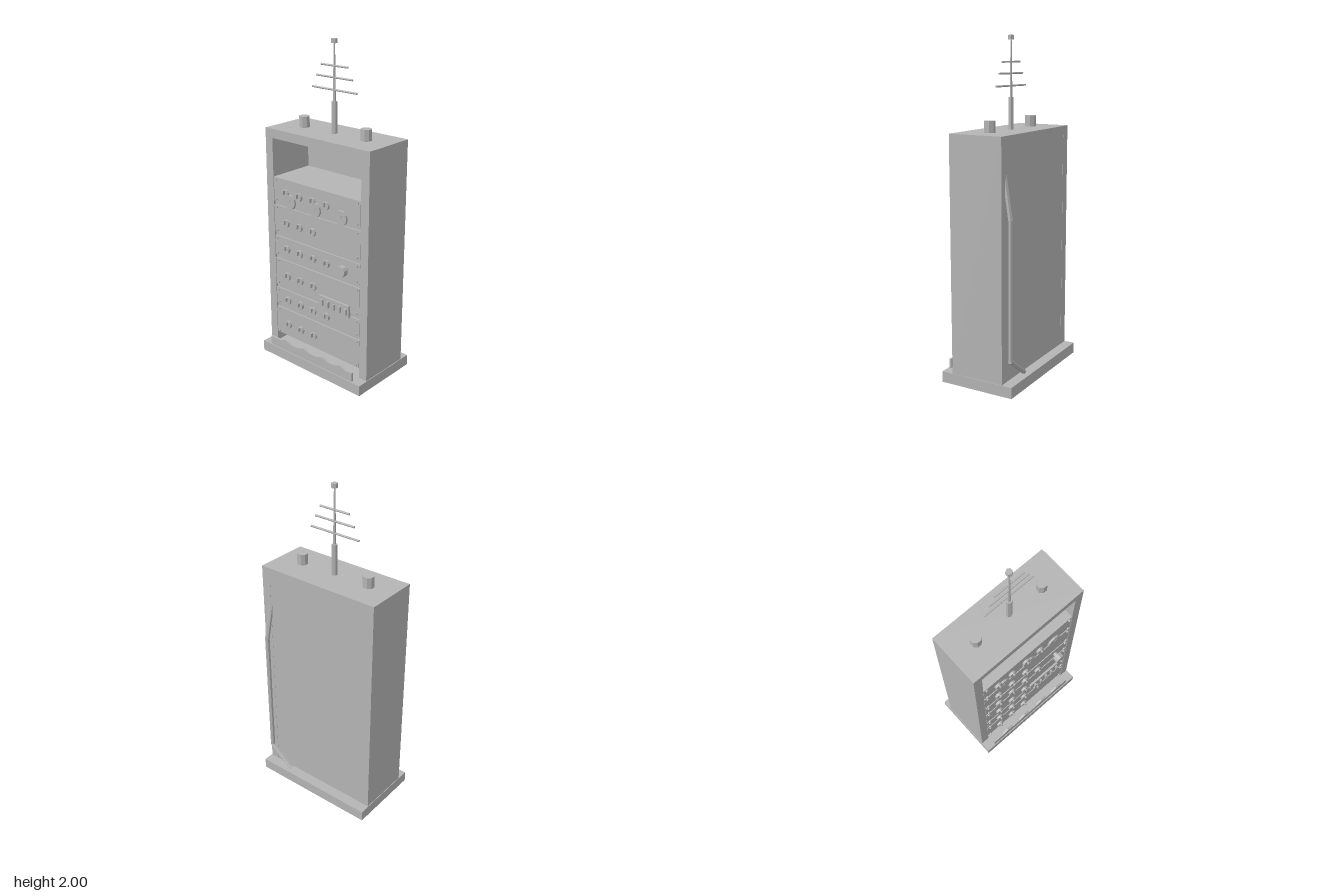
import * as THREE from 'three';

export function createModel() {
  const root = new THREE.Group();
  root.name = 'radioCabinet';
  const grey = new THREE.MeshStandardMaterial({ color: 0xb4b4b4, flatShading: true });
  grey.name = 'plain grey';

  const add = (name, geo, x = 0, y = 0, z = 0, parent = root) => {
    const m = new THREE.Mesh(geo, grey);
    m.name = name;
    m.position.set(x, y, z);
    parent.add(m);
    return m;
  };
  const box = (name, w, h, d, x, y, z, parent) =>
    add(name, new THREE.BoxGeometry(w, h, d), x, y, z, parent);
  // disc whose axis points forward, from z0 to z1
  const disc = (name, r, z0, z1, x, y, sides, parent) =>
    add(name, new THREE.CylinderGeometry(r, r, z1 - z0, sides).rotateX(Math.PI / 2), x, y, (z0 + z1) / 2, parent);

  // Plinth
  box('plinth', 0.8, 0.066, 0.468, 0, 0.033, 0);

  // Cabinet frame, open at the front, with a back wall
  const frame = new THREE.Shape([
    [-0.396, 0.066], [-0.34, 0.066], [-0.34, 1.41], [0.34, 1.41],
    [0.34, 0.066], [0.396, 0.066], [0.396, 1.465], [-0.396, 1.465],
  ].map(p => new THREE.Vector2(...p)));
  add('cabinetFrame', new THREE.ExtrudeGeometry(frame, { depth: 0.335, bevelEnabled: false }), 0, 0, -0.17);
  box('backWall', 0.69, 1.35, 0.03, 0, 0.74, -0.154);

  // Rack units: [bottom, top, number of knobs, knob height]
  const F = 0.165;
  const units = [
    [0.13, 0.315, 3, 0.215], [0.335, 0.45, 4, 0.385], [0.47, 0.65, 3, 0.55],
    [0.67, 0.8, 4, 0.73], [0.82, 1.0, 3, 0.9], [1.02, 1.175, 4, 1.09],
  ];
  box('rackBody', 0.68, 1.04, 0.293, 0, 0.652, 0.008);
  for (const [y0, y1, count, ky] of units) {
    const unit = new THREE.Group();
    unit.name = 'rackUnit';
    root.add(unit);
    box('panel', 0.674, y1 - y0 - 0.004, 0.012, 0, (y0 + y1) / 2, F - 0.007, unit);
    for (const x of [-0.317, 0.317])
      for (const y of [y0 + 0.016, y1 - 0.016]) disc('screw', 0.008, F - 0.003, 0.173, x, y, 6, unit);
    for (let i = 0; i < count; i++) {
      const x = -0.235 + i * 0.107;
      disc('knob', 0.025, F - 0.003, 0.179, x, ky, 10, unit);
      box('knobPointer', 0.007, 0.026, 0.018, x, ky + 0.01, 0.185, unit);
    }
  }

  // Dials on the top unit
  for (const x of [-0.2, 0, 0.2]) {
    disc('dial', 0.045, F - 0.003, 0.177, x, 1.045, 12);
    box('dialNeedle', 0.005, 0.03, 0.004, x + 0.005, 1.053, 0.178).rotation.z = -0.5;
  }

  // Large tuning knob
  disc('tuningStem', 0.014, F - 0.003, 0.19, 0.235, 0.74, 8);
  disc('tuningKnob', 0.033, 0.187, 0.219, 0.235, 0.74, 10);

  // Switch bank
  box('switchPlate', 0.238, 0.076, 0.016, 0.148, 0.478, 0.17);
  for (let i = 0; i < 5; i++) box('switchLever', 0.012, 0.038, 0.016, 0.066 + i * 0.046, 0.478, 0.184);

  // Upright front strip with small peaks
  const strip = new THREE.Shape();
  strip.moveTo(-0.335, 0.066);
  strip.lineTo(0.335, 0.066);
  strip.lineTo(0.335, 0.122);
  for (const x of [0.24, 0.1, -0.056, -0.21]) {
    strip.lineTo(x + 0.045, 0.122);
    strip.lineTo(x, 0.138);
    strip.lineTo(x - 0.045, 0.122);
  }
  strip.lineTo(-0.335, 0.122);
  add('frontStrip', new THREE.ExtrudeGeometry(strip, { depth: 0.014, bevelEnabled: false }), 0, 0, 0.214);

  // Caps on the roof
  for (const x of [-0.235, 0.235])
    add('roofCap', new THREE.CylinderGeometry(0.033, 0.033, 0.067, 8).rotateY(Math.PI / 8), x, 1.497, 0);

  // Aerial
  add('mastBase', new THREE.CylinderGeometry(0.017, 0.017, 0.187, 6), 0, 1.557, 0);
  add('mast', new THREE.CylinderGeometry(0.004, 0.009, 0.34, 6), 0, 1.815, 0);
  add('mastTip', new THREE.CylinderGeometry(0.019, 0.019, 0.025, 6), 0, 1.9875, 0);
  for (const [y, half] of [[1.715, 0.167], [1.785, 0.134], [1.85, 0.1]])
    add('crossbar', new THREE.CylinderGeometry(0.006, 0.006, half * 2, 6).rotateZ(Math.PI / 2), 0, y, 0);

  // Cable down the back, passing through the wall at the top
  const path = [
    [0.2, 0.084, -0.202], [0.354, 0.2, -0.202], [0.354, 1.01, -0.202], [0.333, 1.42, -0.127],
  ].map(p => new THREE.Vector3(...p));
  for (let i = 0; i < 3; i++) {
    const dir = path[i + 1].clone().sub(path[i]);
    const mid = path[i].clone().add(path[i + 1]).multiplyScalar(0.5);
    const seg = add('cable', new THREE.CylinderGeometry(0.014, 0.014, dir.length() + 0.006, 6), mid.x, mid.y, mid.z);
    seg.quaternion.setFromUnitVectors(new THREE.Vector3(0, 1, 0), dir.normalize());
  }
  return root;
}
